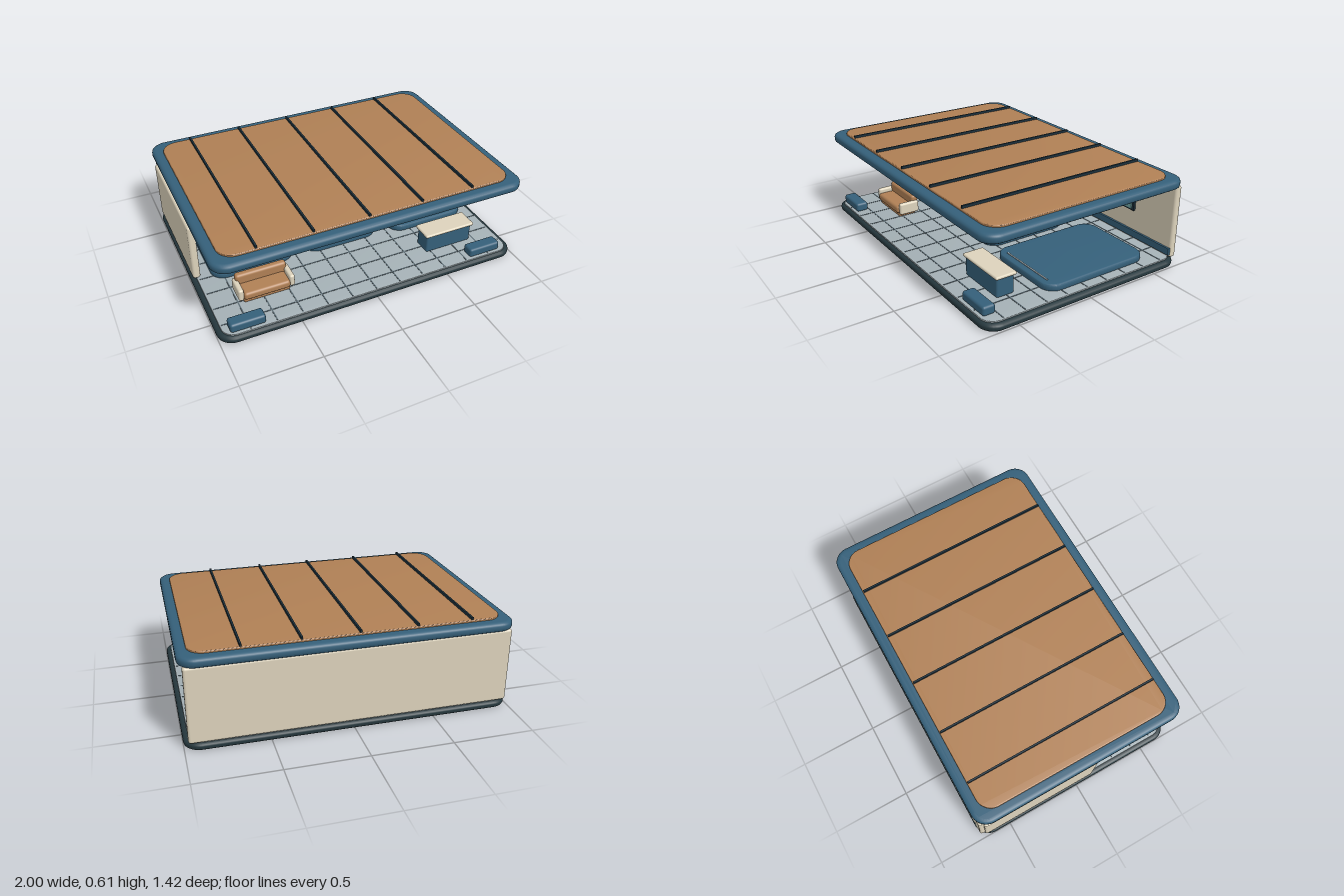
import * as THREE from 'three';
import { toCreasedNormals } from 'three/addons/utils/BufferGeometryUtils.js';
import { RoundedBoxGeometry } from 'three/addons/geometries/RoundedBoxGeometry.js';

const material = (name, color) => {
  const m = new THREE.MeshStandardMaterial({ color });
  m.name = name;
  return m;
};

export function createModel() {
  const model = new THREE.Group();
  model.name = 'openPavilion';
  const blue = material('slateBlue', 0x35607a);
  const cream = material('cream', 0xddd3bc);
  const tan = material('tan', 0xb08055);
  const dark = material('charcoal', 0x26383e);
  const navy = material('darkNavy', 0x1c303c);
  const tile = material('tileGrey', 0xa4b0b5);
  const grout = material('groutGrey', 0x5b6b73);
  const glass = material('tealGlass', 0x74a9a9);

  const add = (name, geometry, mat, parent = model) => {
    const mesh = new THREE.Mesh(geometry, mat);
    mesh.name = name;
    parent.add(mesh);
    return mesh;
  };

  // Plain or rounded box given by its minimum and maximum on each axis
  const box = (name, mat, [x0, x1], [y0, y1], [z0, z1], r = 0, parent = model) => {
    const size = [x1 - x0, y1 - y0, z1 - z0];
    const geometry = r ? new RoundedBoxGeometry(...size, 3, r) : new THREE.BoxGeometry(...size);
    const mesh = add(name, geometry, mat, parent);
    mesh.position.set((x0 + x1) / 2, (y0 + y1) / 2, (z0 + z1) / 2);
    return mesh;
  };

  // Flat slab with rounded corners in plan and a soft bevelled rim
  const slab = (name, mat, [x0, x1], [y0, y1], [z0, z1], corner, bevel, rim = bevel) => {
    const w = (x1 - x0) / 2 - rim, d = (z1 - z0) / 2 - rim, r = corner - rim;
    const s = new THREE.Shape();
    s.absarc(w - r, d - r, r, 0, Math.PI / 2);
    s.absarc(r - w, d - r, r, Math.PI / 2, Math.PI);
    s.absarc(r - w, r - d, r, Math.PI, Math.PI * 1.5);
    s.absarc(w - r, r - d, r, Math.PI * 1.5, Math.PI * 2);
    s.closePath();
    const geometry = new THREE.ExtrudeGeometry(s, {
      depth: y1 - y0 - 2 * bevel, bevelThickness: bevel, bevelSize: rim,
      bevelSegments: 3, curveSegments: 8,
    });
    geometry.rotateX(-Math.PI / 2);
    const mesh = add(name, toCreasedNormals(geometry, 0.6), mat);
    mesh.position.set((x0 + x1) / 2, y0 + bevel, (z0 + z1) / 2);
    return mesh;
  };

  // Base and tiled floor
  slab('base', dark, [-1, 1], [0, 0.046], [-0.705, 0.705], 0.1, 0.018, 0.022);
  slab('floor', tile, [-0.97, 0.97], [0.04, 0.055], [-0.685, 0.685], 0.08, 0.004);
  for (let i = -5; i <= 5; i++) {
    const x = i * 0.162;
    box('floorJointAcross', grout, [x - 0.004, x + 0.004], [0.054, 0.057], [-0.675, 0.675]);
  }
  for (let i = -4; i <= 4; i++) {
    const z = i * 0.145;
    box('floorJointAlong', grout, [-0.96, 0.96], [0.054, 0.057], [z - 0.004, z + 0.004]);
  }

  // Walls and skirting
  box('backWall', cream, [-0.975, 0.975], [0.05, 0.525], [-0.7, -0.652], 0.016);
  box('sideWall', cream, [-0.99, -0.942], [0.05, 0.442], [-0.67, 0.122], 0.016);
  box('skirting', blue, [-0.945, 0.97], [0.07, 0.115], [-0.655, -0.638]);

  // Roof with tan panel and ribs
  slab('roof', blue, [-1, 1], [0.517, 0.577], [-0.71, 0.71], 0.1, 0.02, 0.026);
  slab('roofPanel', tan, [-0.938, 0.938], [0.57, 0.59], [-0.645, 0.645], 0.1, 0.006);
  for (const x of [-0.735, -0.395, -0.045, 0.302, 0.648]) {
    box('roofRib', navy, [x - 0.006, x + 0.006], [0.58, 0.606], [-0.64, 0.64]);
  }

  // Windows on the back wall
  for (const x of [-0.7, -0.122, 0.467]) {
    const win = new THREE.Group();
    win.name = 'window';
    win.position.x = x;
    model.add(win);
    box('windowFrame', navy, [-0.186, 0.186], [0.25, 0.435], [-0.655, -0.637], 0.004, win);
    box('windowPane', glass, [-0.168, 0.168], [0.264, 0.42], [-0.64, -0.631], 0, win);
    box('windowMullion', cream, [-0.006, 0.006], [0.262, 0.415], [-0.631, -0.617], 0.003, win);
    box('windowBar', navy, [-0.14, 0.14], [0.37, 0.378], [-0.631, -0.624], 0, win);
  }

  // Awning roller and the thin rail below it
  const rod = (name, mat, x0, x1, y, z, r) => {
    const geometry = new THREE.CylinderGeometry(r, r, x1 - x0, 16).rotateZ(Math.PI / 2);
    add(name, geometry, mat).position.set((x0 + x1) / 2, y, z);
  };
  rod('roller', blue, -0.925, 0.865, 0.476, -0.626, 0.016);
  rod('rail', cream, -0.74, 0.73, 0.453, -0.622, 0.006);

  // Raised mats, each with a pale edge strip
  const mats = [[-0.88, -0.335, -0.46, 0.2], [-0.25, 0.26, -0.4, 0.2], [0.355, 0.91, -0.515, 0.235]];
  for (const [x0, x1, z0, z1] of mats) {
    slab('mat', blue, [x0, x1], [0.05, 0.096], [z0, z1], 0.09, 0.012);
    box('matStrip', tile, [x0 + 0.08, x1 - 0.08], [0.094, 0.1], [z1 - 0.052, z1 - 0.042]);
  }

  // Sofa
  const sofa = new THREE.Group();
  sofa.name = 'sofa';
  model.add(sofa);
  box('sofaBase', tan, [-0.775, -0.48], [0.055, 0.09], [0.335, 0.46], 0.01, sofa);
  box('sofaSeat', tan, [-0.775, -0.48], [0.08, 0.132], [0.35, 0.475], 0.018, sofa);
  box('sofaBack', tan, [-0.792, -0.465], [0.09, 0.194], [0.322, 0.37], 0.018, sofa);
  for (const x of [-0.79, -0.465]) {
    box('sofaArm', cream, [x - 0.017, x + 0.017], [0.078, 0.158], [0.325, 0.465], 0.013, sofa);
  }

  // Counter
  box('counterBody', blue, [0.452, 0.782], [0.053, 0.18], [0.385, 0.503], 0.012);
  box('counterTop', cream, [0.44, 0.795], [0.174, 0.195], [0.373, 0.515], 0.01);

  // Low benches at the front corners
  box('benchLeft', blue, [0.68, 0.9], [0.053, 0.113], [0.588, 0.67], 0.016);
  box('benchRight', blue, [-0.93, -0.713], [0.053, 0.113], [0.588, 0.67], 0.016);

  return model;
}
